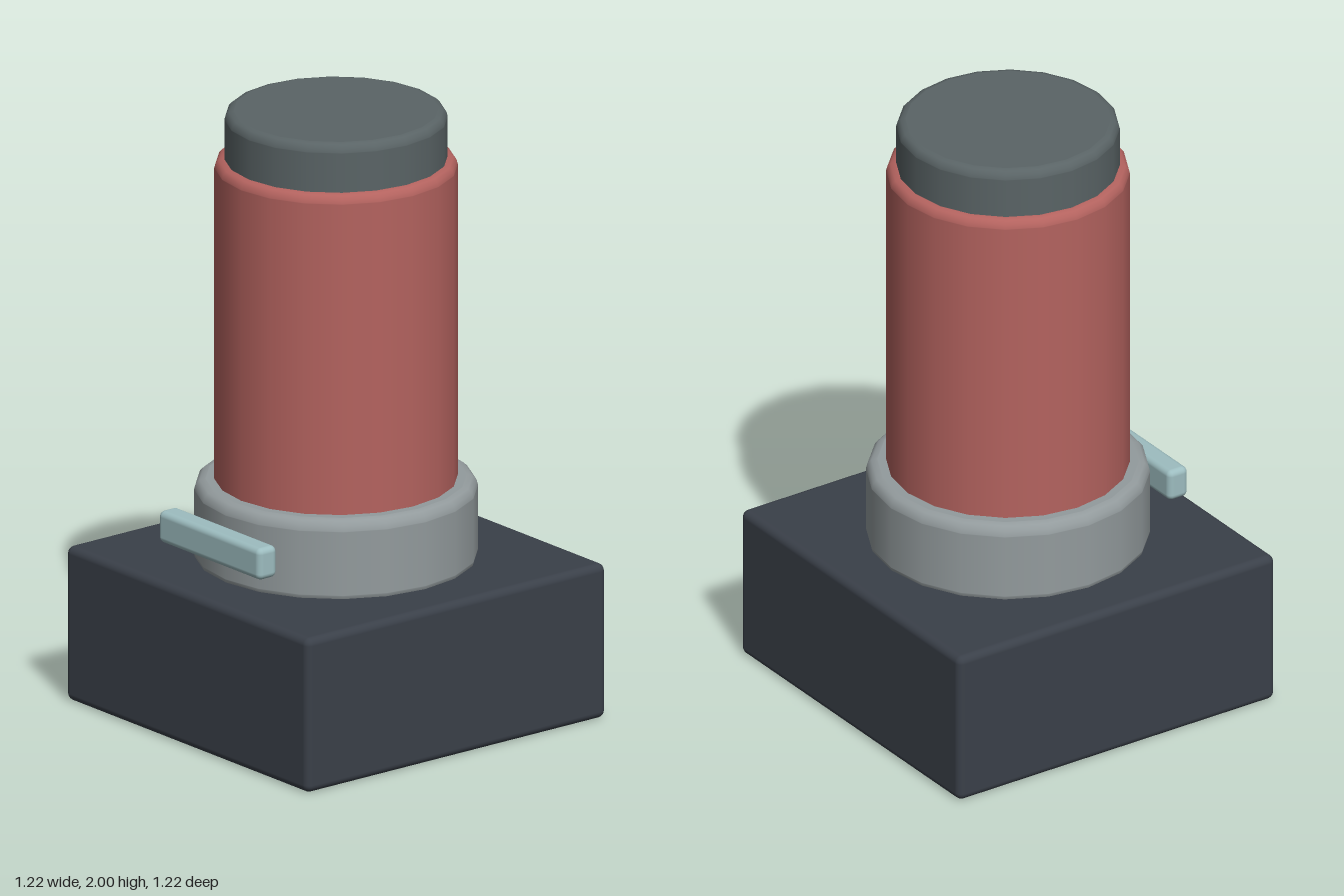
import * as THREE from 'three';
import { RoundedBoxGeometry } from 'three/addons/geometries/RoundedBoxGeometry.js';

const SIDES = 20;

function material(name, color) {
  const m = new THREE.MeshStandardMaterial({ color });
  m.name = name;
  return m;
}

// Closed cylinder with softly rounded rims, from y0 up to y1
function roundedCylinder(radius, y0, y1, bevel) {
  const points = [new THREE.Vector2(0, y0)];
  const steps = 3, eps = 0.002;
  const corner = (cy, start) => {
    for (let i = 0; i <= steps; i++) {
      const a = start + (i / steps) * Math.PI / 2;
      points.push(new THREE.Vector2(radius - bevel + Math.cos(a) * bevel, cy + Math.sin(a) * bevel));
    }
  };
  // extra points beside each bevel keep the caps and walls evenly shaded
  points.push(new THREE.Vector2(radius - bevel - eps, y0));
  corner(y0 + bevel, -Math.PI / 2);
  points.push(new THREE.Vector2(radius, y0 + bevel + eps));
  points.push(new THREE.Vector2(radius, y1 - bevel - eps));
  corner(y1 - bevel, 0);
  points.push(new THREE.Vector2(radius - bevel - eps, y1));
  points.push(new THREE.Vector2(0, y1));
  return new THREE.LatheGeometry(points, SIDES);
}

export function createModel() {
  const model = new THREE.Group();
  const charcoal = material('charcoal', 0x3a4049);
  const grey = material('grey', 0x939b9d);
  const red = material('dull red', 0xb4635f);
  const slate = material('slate', 0x5a6466);
  const paleTeal = material('pale teal', 0x9dbdc0);

  const add = (name, geometry, mat, x = 0, y = 0, z = 0) => {
    const mesh = new THREE.Mesh(geometry, mat);
    mesh.name = name;
    mesh.position.set(x, y, z);
    model.add(mesh);
  };

  // Square base block
  add('base', new RoundedBoxGeometry(1.22, 0.515, 1.22, 3, 0.025), charcoal, 0, 0.2575, 0);

  // Stacked round parts
  add('collar', roundedCylinder(0.45, 0.49, 0.775, 0.035), grey);
  add('body', roundedCylinder(0.386, 0.74, 1.84, 0.028), red);
  add('cap', roundedCylinder(0.354, 1.78, 2, 0.028), slate);

  // Bar on the front of the collar
  add('frontBar', new RoundedBoxGeometry(0.512, 0.106, 0.076, 3, 0.02), paleTeal, 0, 0.652, 0.482);

  return model;
}
